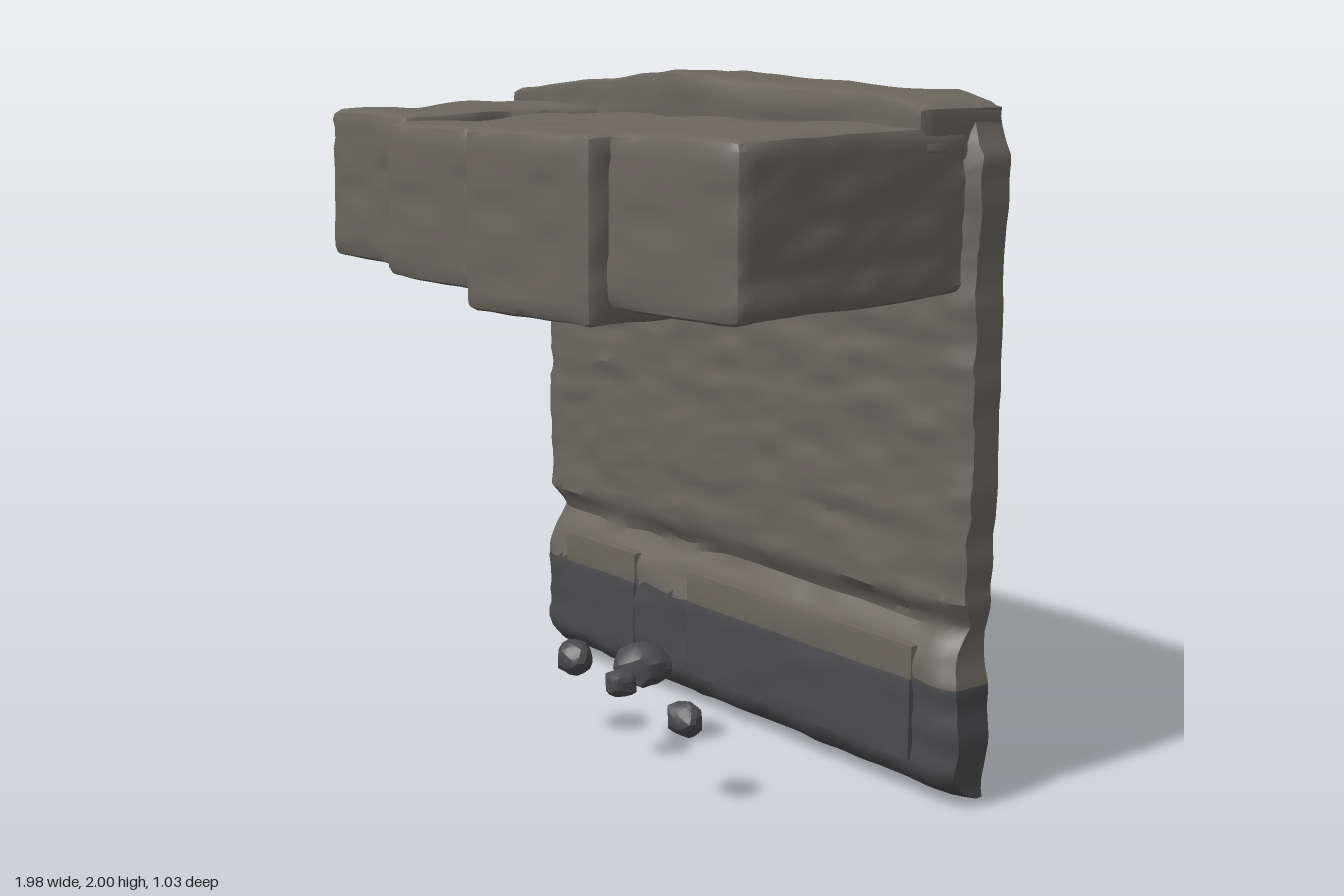
import * as THREE from 'three';
import { toCreasedNormals } from 'three/addons/utils/BufferGeometryUtils.js';

const BACK = -0.52;
const stone = new THREE.MeshStandardMaterial({ color: 0x6b675e });
const darkStone = new THREE.MeshStandardMaterial({ color: 0x4b4b4e });
const { lerp, clamp, smoothstep } = THREE.MathUtils;

// Piecewise linear lookup through [position, value] pairs
function along(points, t) {
  if (t <= points[0][0]) return points[0][1];
  for (let i = 1; i < points.length; i++) {
    const [a, va] = points[i - 1], [b, vb] = points[i];
    if (t <= b) return lerp(va, vb, (t - a) / (b - a));
  }
  return points[points.length - 1][1];
}

// Seeded value noise, -1 to 1
const hash = (x, y, z) => {
  const s = Math.sin(x * 127.1 + y * 311.7 + z * 74.7) * 43758.5453;
  return (s - Math.floor(s)) * 2 - 1;
};
function noise(x, y, z) {
  const i = Math.floor(x), j = Math.floor(y), k = Math.floor(z);
  const u = smoothstep(x - i, 0, 1), v = smoothstep(y - j, 0, 1), w = smoothstep(z - k, 0, 1);
  const row = (b, c) => lerp(hash(i, b, c), hash(i + 1, b, c), u);
  return lerp(lerp(row(j, k), row(j + 1, k), v), lerp(row(j, k + 1), row(j + 1, k + 1), v), w);
}
// Horizontal layers: long in x and z, short in y
const strata = (x, y, z) => noise(x * 5, y * 17, z * 5) * 0.65 + noise(x * 11 + 9, y * 34, z * 11) * 0.35;

function deform(geometry, rule) {
  const pos = geometry.attributes.position;
  const p = new THREE.Vector3();
  for (let i = 0; i < pos.count; i++) {
    rule(p.fromBufferAttribute(pos, i));
    pos.setXYZ(i, p.x, p.y, p.z);
  }
  return geometry;
}

function named(name, geometry, material) {
  const mesh = new THREE.Mesh(geometry, material);
  mesh.name = name;
  return mesh;
}

// Box with rounded edges and layered roughness; shape() bends it afterwards
function roughBlock(name, [x0, x1], [y0, y1], [z0, z1], { r = 0.025, rough = 0.012, shape, material = stone } = {}) {
  const size = [x1 - x0, y1 - y0, z1 - z0];
  const seg = size.map((s) => Math.max(3, Math.round(s / 0.03)));
  const half = new THREE.Vector3(...size).multiplyScalar(0.5);
  const low = half.clone().subScalar(r), inner = new THREE.Vector3();
  const centre = new THREE.Vector3(x0 + x1, y0 + y1, z0 + z1).multiplyScalar(0.5);
  const geometry = deform(new THREE.BoxGeometry(...size, ...seg), (p) => {
    inner.copy(p).clamp(low.clone().negate(), low);
    const out = p.clone().sub(inner).normalize();
    p.copy(inner).addScaledVector(out, r).add(centre);
    p.addScaledVector(out, rough * strata(p.x, p.y, p.z));
    if (shape) shape(p);
    p.z = Math.max(p.z, BACK + 0.003);
  });
  return named(name, toCreasedNormals(geometry, 0.65), material);
}

// Wall outline and front depth
const leftEdge = [[0.03, -0.98], [0.1, -0.995], [0.3, -0.99], [0.5, -0.965], [0.6, -0.995], [1.48, -0.985], [1.55, -0.93], [1.95, -0.925]];
const rightEdge = [[0.03, 0.95], [0.2, 0.975], [0.5, 0.94], [0.6, 0.965], [1.4, 0.97], [1.84, 0.98], [1.88, 0.96], [1.95, 0.94]];
const topEdge = [[-0.93, 1.925], [-0.5, 1.965], [-0.08, 1.995], [0.4, 1.965], [0.8, 1.95], [0.95, 1.915]];
const bottomEdge = [[-1, 0.05], [-0.72, 0.04], [-0.62, 0.02], [-0.45, 0.035], [-0.25, 0.003], [-0.05, 0.035], [0.5, 0.035], [0.97, 0.025]];
const depth = [[0.01, -0.5], [0.05, -0.42], [0.09, -0.385], [0.13, -0.375], [0.34, -0.372], [0.45, -0.392], [0.52, -0.43], [0.59, -0.392], [2, -0.39]];

function outline(u, v) {
  const y = v * 1.95 + 0.02;
  const x = lerp(along(leftEdge, y), along(rightEdge, y), u) + (u - 0.5) * 0.016 * noise(3, y * 14, 1);
  return [x, lerp(along(bottomEdge, x), along(topEdge, x), v)];
}

function wall() {
  const group = new THREE.Group();
  group.name = 'wall';
  const NX = 64, NY = 80;
  const box = deform(new THREE.BoxGeometry(1, 1, 1, NX, NY, 4), (p) => {
    const u = p.x + 0.5, v = p.y + 0.5, w = p.z + 0.5;
    const [x, y] = outline(u, v);
    const edge = Math.min(u, 1 - u);
    const front = along(depth, y) + 0.012 * strata(x, y, 0) - 0.03 * Math.max(0, 1 - edge / 0.025);
    p.set(x, y, lerp(BACK, front, w));
  });

  // Leave the back open and split the rest into dark base and lighter upper stone
  const src = toCreasedNormals(box, 0.6);
  const pos = src.attributes.position, nor = src.attributes.normal;
  const halves = [{ p: [], n: [] }, { p: [], n: [] }];
  for (let i = 0; i < pos.count; i += 3) {
    const ids = [i, i + 1, i + 2];
    if (ids.every((k) => pos.getZ(k) < BACK + 0.0005)) continue;
    const mid = ids.reduce((s, k) => s + pos.getY(k) / 3, 0);
    const half = halves[mid < 0.36 ? 0 : 1];
    for (const k of ids) {
      half.p.push(pos.getX(k), pos.getY(k), pos.getZ(k));
      half.n.push(nor.getX(k), nor.getY(k), nor.getZ(k));
    }
  }
  halves.forEach((half, i) => {
    const g = new THREE.BufferGeometry();
    g.setAttribute('position', new THREE.Float32BufferAttribute(half.p, 3));
    g.setAttribute('normal', new THREE.Float32BufferAttribute(half.n, 3));
    group.add(named(i ? 'wallFace' : 'wallBase', g, i ? stone : darkStone));
  });

  // Flat back: a dark triangle on the lower edge, lighter stone around it
  const apex = [-0.45, 0.83];
  const run = (n, f) => Array.from({ length: n + 1 }, (_, i) => outline(...f(i / n)));
  const bottom = run(NX, (t) => [t, 0]);
  const rest = [...run(NY, (t) => [1, t]), ...run(NX, (t) => [1 - t, 1]).slice(1), ...run(NY, (t) => [0, 1 - t]).slice(1)];
  const flat = (name, pts, material) => {
    const shape = new THREE.Shape([...pts, apex].map(([x, y]) => new THREE.Vector2(-x, y)));
    group.add(named(name, new THREE.ShapeGeometry(shape).rotateY(Math.PI).translate(0, 0, BACK), material));
  };
  flat('backLower', bottom, darkStone);
  flat('backUpper', rest, stone);
  return group;
}

export function createModel() {
  const model = new THREE.Group();
  model.add(wall());

  // Cornice along the top of the wall
  model.add(roughBlock('cornice', [-0.935, 0.945], [1.78, 2], [-0.54, -0.225], {
    shape: (p) => { p.y += (along(topEdge, p.x) + 0.003 - 2) * smoothstep(p.y, 1.8, 1.95); },
  }));

  // Overhanging blocks: back x range, front x range, heights, front z at left and right
  const blocks = [
    [[-0.935, -0.45], [-0.905, -0.43], [1.44, 1.885], [0.455, 0.47]],
    [[-0.45, -0.06], [-0.49, -0.06], [1.415, 1.86], [0.51, 0.485]],
    [[-0.07, 0.5], [-0.075, 0.485], [1.365, 1.86], [0.505, 0.48]],
    [[0.49, 0.935], [0.49, 0.965], [1.415, 1.865], [0.435, 0.385]],
  ];
  blocks.forEach(([back, front, ys, [zl, zr]], i) => {
    model.add(roughBlock('overhangBlock' + (i + 1), [0, 1].map((k) => k * (back[1] - back[0])), ys, [-0.45, 0.5], {
      r: 0.03,
      shape: (p) => {
        const u = p.x / (back[1] - back[0]), w = (p.z + 0.45) / 0.95;
        p.x = lerp(lerp(back[0], front[0], w), lerp(back[1], front[1], w), u);
        p.z = -0.45 + w * (lerp(zl, zr, clamp(u, 0, 1)) + 0.45);
        p.y += lerp(0.015, -0.005, w);
      },
    }));
  });

  // Raised panels on the base, dark below and lighter at the top
  for (const [x0, x1] of [[-0.84, -0.45], [-0.18, 0.82]]) {
    model.add(roughBlock('basePanel', [x0, x1], [0.12, 0.36], [-0.44, -0.362], { r: 0.012, rough: 0.006, material: darkStone }));
    model.add(roughBlock('basePanelTop', [x0, x1], [0.34, 0.455], [-0.45, -0.366], { r: 0.012, rough: 0.006 }));
  }

  // Loose rocks: centre and radii
  const rocks = [
    [[0.015, 0.255, -0.055], [0.08, 0.07, 0.085]],
    [[-0.18, 0.25, 0.06], [0.062, 0.055, 0.055]],
    [[0.085, 0.245, 0.08], [0.048, 0.04, 0.05]],
    [[0.47, 0.255, 0.145], [0.058, 0.05, 0.05]],
  ];
  rocks.forEach(([c, r], i) => {
    const g = deform(new THREE.IcosahedronGeometry(1, 2), (p) => {
      p.multiplyScalar(1 + 0.2 * noise(p.x * 1.6 + i * 7 + 3, p.y * 1.6 + 5, p.z * 1.6 + 2));
      p.multiply(new THREE.Vector3(...r));
    });
    const rock = named('rock' + (i + 1), toCreasedNormals(g, 0.4), darkStone);
    rock.position.set(...c);
    model.add(rock);
  });
  return model;
}
